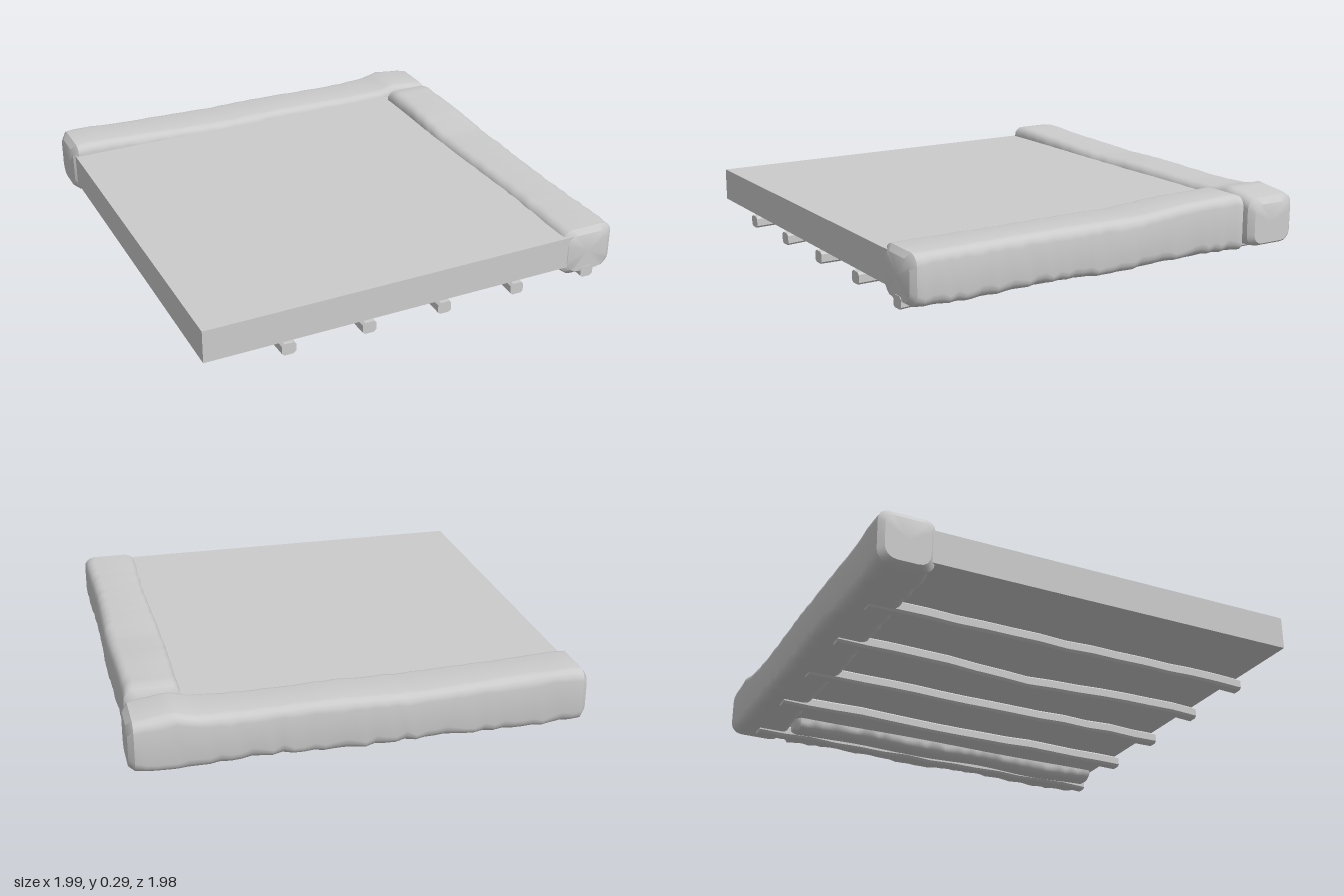
import * as THREE from 'three';
import { toCreasedNormals } from 'three/addons/utils/BufferGeometryUtils.js';

const material = new THREE.MeshStandardMaterial({ color: 0xcccccc });

function seeded(seed) {
  let s = seed;
  return () => (s = (s * 16807) % 2147483647) / 2147483647 - 0.5;
}

// Linear lookup in a short list of [position, value] pairs
function lookup(pairs, x) {
  for (let i = 1; i < pairs.length; i++) {
    const [x0, v0] = pairs[i - 1], [x1, v1] = pairs[i];
    if (x <= x1) return THREE.MathUtils.lerp(v0, v1, Math.max(0, (x - x0) / (x1 - x0)));
  }
  return pairs[pairs.length - 1][1];
}

// Skin closed rings of [x, y, z] points and cap both ends
function loft(rings) {
  const m = rings[0].length, n = rings.length, index = [];
  const mid = (r) => [0, 1, 2].map((k) => r.reduce((s, p) => s + p[k], 0) / m);
  const points = [...rings.flat(), mid(rings[0]), mid(rings[n - 1])];
  for (let j = 0; j < m; j++) {
    const k = (j + 1) % m;
    for (let i = 0; i < n - 1; i++) {
      const a = i * m + j, b = a + m, c = i * m + k, d = c + m;
      index.push(a, b, c, b, d, c);
    }
    index.push(n * m, j, k, n * m + 1, (n - 1) * m + k, (n - 1) * m + j);
  }
  const g = new THREE.BufferGeometry();
  g.setAttribute('position', new THREE.Float32BufferAttribute(points.flat(), 3));
  g.setIndex(index);
  return toCreasedNormals(g, 0.65);
}

// Rough hewn beam along x: rounded-rectangle sections with worn, chipped corners
function hewnBeam(length, width, bottom, topLine, seed) {
  const rnd = seeded(seed), rings = [], steps = 44, half = length / 2;
  const stations = [0, 0.012];
  for (let i = 1; i < steps; i++) stations.push(0.012 + (0.976 * i) / steps);
  stations.push(0.988, 1);
  stations.forEach((t, i) => {
    const x = -half + t * length;
    const end = i === 0 || i === stations.length - 1;
    const inset = end ? 0.025 : 0;
    const top = lookup(topLine, x) - inset;
    const low = bottom + 0.005 * Math.sin(x * 9 + seed) + inset * 0.5;
    const w = width / 2 - inset + 0.004 * Math.sin(x * 6 + seed * 2);
    const ring = [];
    const corners = [[1, 1, 0], [-1, 1, 1], [-1, -1, 2], [1, -1, 3]];
    for (const [sz, sy, q] of corners) {
      const chip = 0.045 + (sy < 0 ? 0.028 : 0.012) * rnd();
      const cz = sz * (w - chip), cy = sy > 0 ? top - chip : low + chip;
      for (let k = 0; k <= 4; k++) {
        const a = (q + k / 4) * Math.PI / 2;
        ring.push([x, cy + Math.sin(a) * chip, cz + Math.cos(a) * chip]);
      }
    }
    rings.push(ring);
  });
  return loft(rings);
}

// Thin crooked stick along x, chamfered in section
function stick(length, size, sag, seed) {
  const rnd = seeded(seed), rings = [], steps = 14, h = size / 2, c = size * 0.32;
  const section = [[h, -c], [h, c], [c, h], [-c, h], [-h, c], [-h, -c], [-c, -h], [c, -h]];
  for (let i = 0; i <= steps; i++) {
    const t = i / steps;
    const dy = -sag * Math.max(0, 1 - Math.abs(t - 0.5) * 3.2) + 0.006 * rnd();
    const dz = 0.008 * rnd();
    rings.push(section.map(([z, y]) => [(t - 0.5) * length, y * 0.85 + dy, z + dz]));
  }
  return loft(rings);
}

export function createModel() {
  const group = new THREE.Group();
  const add = (name, geometry, x, y, z, turn = 0) => {
    const mesh = new THREE.Mesh(geometry, material);
    mesh.name = name;
    mesh.position.set(x, y, z);
    mesh.rotation.y = turn;
    group.add(mesh);
  };

  // Flat floor slab, tucked into both beams
  add('floorSlab', new THREE.BoxGeometry(1.88, 0.15, 1.88), -0.045, 0.163, 0.04);

  // Beam along the back edge
  const backTop = [[-1, 0.28], [-0.94, 0.292], [-0.6, 0.278], [-0.2, 0.264], [0.1, 0.27],
    [0.5, 0.262], [0.72, 0.268], [0.8, 0.292], [0.95, 0.272], [1, 0.262]];
  add('backBeam', hewnBeam(1.99, 0.25, 0.04, backTop, 17), 0, 0, -0.863);

  // Beam along the left edge, butting against the back one
  const sideTop = [[-0.86, 0.262], [0, 0.266], [0.25, 0.265], [0.5, 0.284], [0.79, 0.292], [0.86, 0.275]];
  add('sideBeam', hewnBeam(1.705, 0.25, 0.037, sideTop, 41), 0.855, 0, 0.13, Math.PI / 2);

  // Support sticks under the slab
  [-0.615, -0.245, 0.125, 0.49, 0.86].forEach((x, i) => {
    add('supportStick', stick(1.87, 0.064, i === 1 ? 0.024 : 0.004, 7 + i * 31),
      x, i === 4 ? 0.048 : 0.054, 0.05, Math.PI / 2);
  });

  return group;
}
